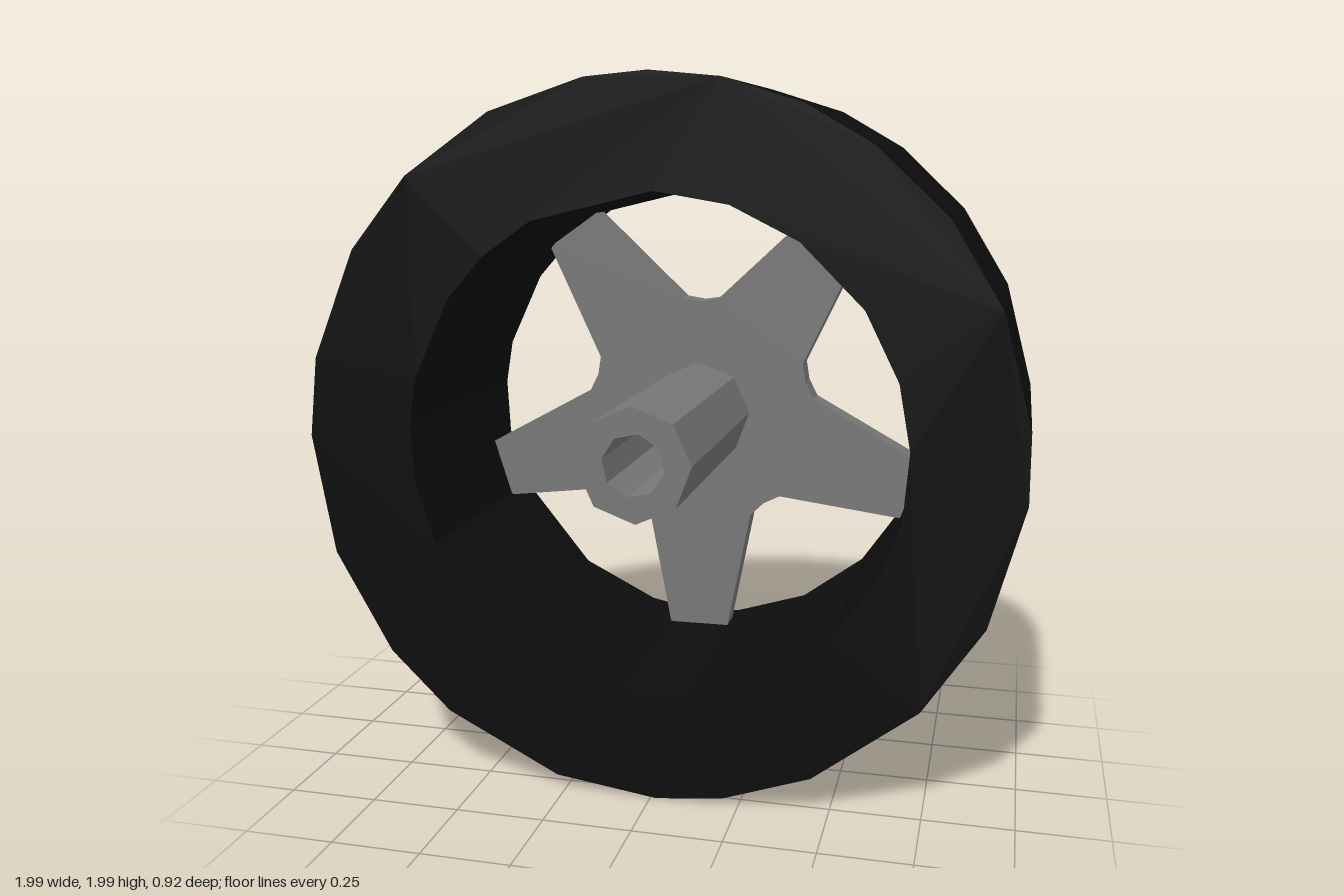
import * as THREE from 'three';

const rubber = new THREE.MeshStandardMaterial({ color: 0x0d0d0d, flatShading: true });
const metal = new THREE.MeshStandardMaterial({ color: 0x777777, flatShading: true });

// Points on a circle at the given angles in degrees
const ring = (radius, degrees) => degrees.map((d) => {
  const a = THREE.MathUtils.degToRad(d);
  return new THREE.Vector2(radius * Math.cos(a), radius * Math.sin(a));
});
const evenAngles = (count, start) => Array.from({ length: count }, (_, i) => start + (i * 360) / count);

// Flat-faced solid between two depths, with an optional hole
function slab(name, material, outline, hole, back, front) {
  const shape = new THREE.Shape(outline);
  if (hole) shape.holes.push(new THREE.Path(hole));
  const geometry = new THREE.ExtrudeGeometry(shape, { depth: front - back, bevelEnabled: false });
  geometry.translate(0, 1, back);
  const mesh = new THREE.Mesh(geometry, material);
  mesh.name = name;
  return mesh;
}

export function createModel() {
  const wheel = new THREE.Group();
  wheel.name = 'wheel';

  // Tyre: wide band with slightly uneven facets
  const outer = ring(0.995, [6, 24, 39, 54, 66, 79, 90, 100, 116, 133, 148, 167, 180,
    200, 219, 233, 254, 271, 282, 297, 318, 335, 355]);
  const inner = ring(0.692, [3, 18, 35, 55, 72, 89, 118, 132, 145, 165, 176, 190, 205,
    233, 254, 263, 278, 297, 316, 335, 348]);
  wheel.add(slab('tyre', rubber, outer, inner, -0.46, 0.3));

  // Five tapered spokes, set in near the back of the tyre
  const star = [];
  for (let i = 0; i < 5; i++) {
    const a = 270 + i * 72;
    star.push(...ring(0.705, [a - 7.3, a + 7.3]));
    star.push(...ring(0.358, [a + 27]), ...ring(0.345, [a + 36]), ...ring(0.358, [a + 45]));
  }
  wheel.add(slab('spokes', metal, star, null, -0.39, -0.31));

  // Hollow hub reaching out past the front of the tyre
  wheel.add(slab('hub', metal, ring(0.156, evenAngles(8, 92)), ring(0.085, evenAngles(8, 80)), -0.32, 0.46));

  return wheel;
}
